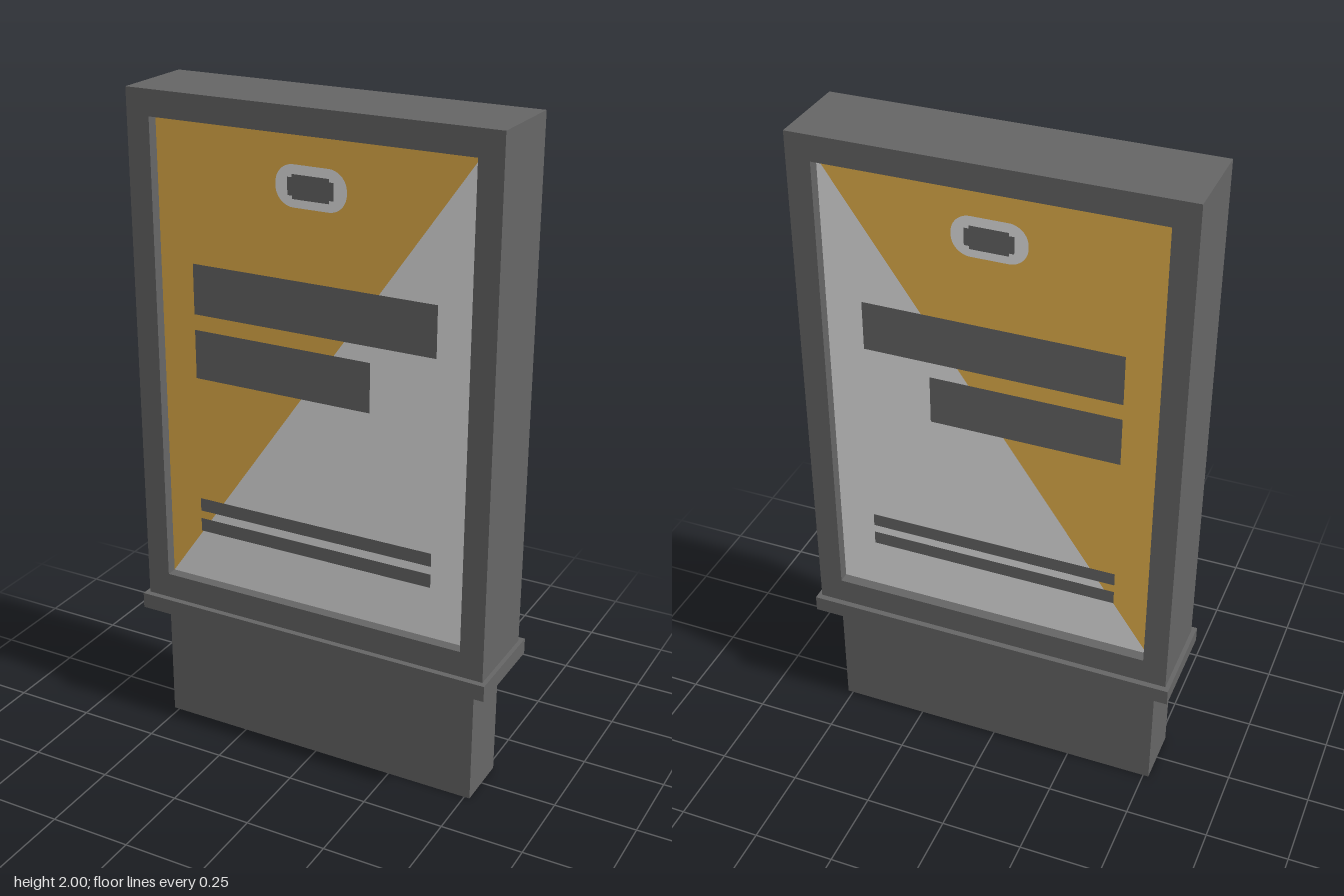
import * as THREE from 'three';

const paint = (name, color, side = THREE.FrontSide) => {
  const m = new THREE.MeshStandardMaterial({ color, side });
  m.name = name;
  return m;
};

export function createModel() {
  const model = new THREE.Group();
  model.name = 'advertisingStand';
  const metal = paint('dark grey metal', 0x666666, THREE.DoubleSide);
  const yellow = paint('poster amber', 0xffc655);
  const white = paint('poster white', 0xfcfcfc);

  const add = (parent, name, geometry, material, x = 0, y = 0, z = 0) => {
    const mesh = new THREE.Mesh(geometry, material);
    mesh.name = name;
    mesh.position.set(x, y, z);
    parent.add(mesh);
    return mesh;
  };
  const polygon = (points) => new THREE.Shape(points.map(([x, y]) => new THREE.Vector2(x, y)));
  const rect = (x0, y0, x1, y1) => polygon([[x0, y0], [x1, y0], [x1, y1], [x0, y1]]);

  // Plinth: four walls, open underneath
  const plinth = new THREE.Group();
  plinth.name = 'plinth';
  model.add(plinth);
  for (const s of [1, -1]) {
    add(plinth, 'plinthWideWall', new THREE.PlaneGeometry(1.034, 0.386), metal, 0, 0.193, s * 0.089)
      .rotation.y = s > 0 ? 0 : Math.PI;
    add(plinth, 'plinthEndWall', new THREE.PlaneGeometry(0.178, 0.386), metal, s * 0.517, 0.193, 0)
      .rotation.y = s * Math.PI / 2;
  }

  // Ledge between plinth and cabinet
  add(model, 'ledge', new THREE.BoxGeometry(1.146, 0.049, 0.302), metal, 0, 0.4105, 0);

  // Cabinet frame with a through opening, closed by the posters
  const frame = rect(-0.56, 0.435, 0.56, 2);
  frame.holes.push(rect(-0.488, 0.515, 0.488, 1.925));
  add(model, 'cabinetFrame',
    new THREE.ExtrudeGeometry(frame, { depth: 0.266, bevelEnabled: false }), metal, 0, 0, -0.133);

  // Rounded badge outline
  const pill = new THREE.Shape();
  const w = 0.108, y0 = 1.72, y1 = 1.838, r = 0.055;
  pill.moveTo(-w + r, y0);
  pill.lineTo(w - r, y0);
  pill.absarc(w - r, y0 + r, r, -Math.PI / 2, 0);
  pill.absarc(w - r, y1 - r, r, 0, Math.PI / 2);
  pill.absarc(-w + r, y1 - r, r, Math.PI / 2, Math.PI);
  pill.absarc(-w + r, y0 + r, r, Math.PI, Math.PI * 1.5);

  // Posters: m = 1 faces front, m = -1 faces back with the layout mirrored
  for (const m of [1, -1]) {
    const poster = new THREE.Group();
    poster.name = m > 0 ? 'frontPoster' : 'backPoster';
    poster.rotation.y = m > 0 ? 0 : Math.PI;
    model.add(poster);
    const flat = (name, points, material, z) =>
      add(poster, name, new THREE.ShapeGeometry(polygon(points.map(([x, y]) => [x * m, y]))), material, 0, 0, z);

    flat('posterUpperHalf', [[-0.488, 0.515], [0.488, 1.925], [-0.488, 1.925]], yellow, 0.1);
    flat('posterLowerHalf', [[-0.488, 0.515], [0.488, 0.515], [0.488, 1.925]], white, 0.1);

    // Dark bars: x start, x end, y bottom, y top
    for (const [a, b, c, d] of [
      [-0.38, 0.378, 1.365, 1.515],
      [-0.38, 0.181, 1.17, 1.318],
      [-0.38, 0.378, 0.744, 0.785],
      [-0.38, 0.378, 0.677, 0.719],
    ]) flat('posterBar', [[a, c], [b, c], [b, d], [a, d]], metal, 0.104);

    // Badge with a notched dark centre
    add(poster, 'badge', new THREE.ShapeGeometry(pill, 8), white, 0, 0, 0.104);
    flat('badgeCentre', [
      [-0.056, 1.744], [0.056, 1.744], [0.056, 1.753], [0.07, 1.753], [0.07, 1.803], [0.056, 1.803],
      [0.056, 1.812], [-0.056, 1.812], [-0.056, 1.803], [-0.07, 1.803], [-0.07, 1.753], [-0.056, 1.753],
    ], metal, 0.107);
  }
  return model;
}
